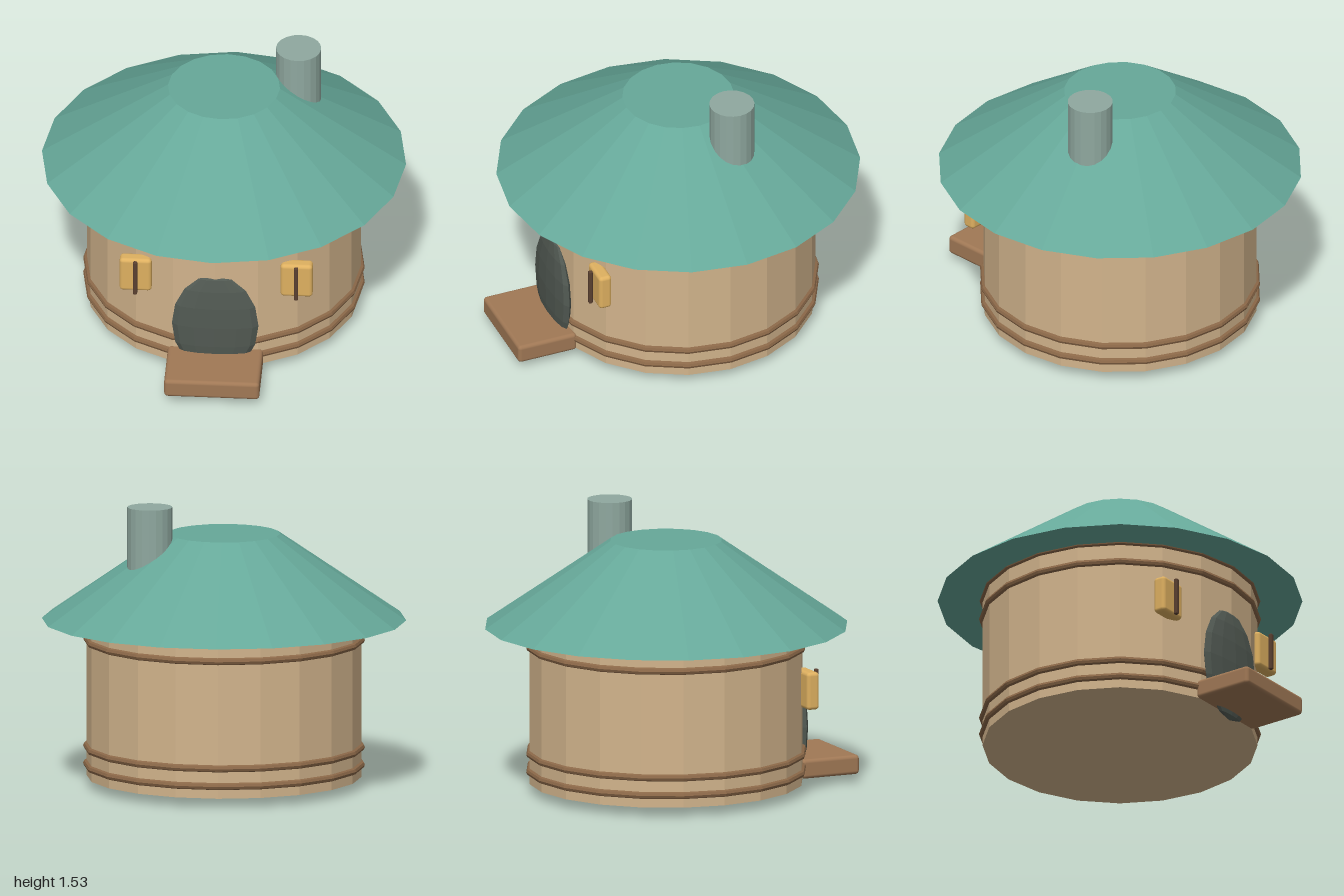
import * as THREE from 'three';
import { RoundedBoxGeometry } from 'three/addons/geometries/RoundedBoxGeometry.js';

const SIDES = 20;
const CENTRE_Z = -0.025;
const WALL_RADIUS = 0.735;

function paint(color, flatShading = true) {
  const material = new THREE.MeshStandardMaterial({ flatShading });
  material.color.set(color);
  return material;
}

export function createModel() {
  const hut = new THREE.Group();
  hut.name = 'hut';

  const plaster = paint(0xd2b48c);
  const wood = paint(0x8b6848);
  const plank = paint(0xa07855, false);
  const gold = paint(0xdeb060, false);
  const darkWood = paint(0x5a4030);
  const roofGreen = paint(0x66a899);
  const stone = paint(0x8fa89f);
  const doorGrey = paint(0x525a53);

  const add = (name, geometry, material, x, y, z, parent = hut) => {
    const mesh = new THREE.Mesh(geometry, material);
    mesh.name = name;
    mesh.position.set(x, y, z);
    parent.add(mesh);
    return mesh;
  };

  // Round wall
  add('wall', new THREE.CylinderGeometry(WALL_RADIUS, WALL_RADIUS, 0.85, SIDES), plaster, 0, 0.475, CENTRE_Z);

  // Wooden hoops around the wall, the highest tucked under the eaves
  const hoop = new THREE.TorusGeometry(WALL_RADIUS, 0.019, 8, SIDES).rotateX(Math.PI / 2);
  [0.116, 0.212, 0.793, 0.908].forEach((y, i) => add(`hoop${i + 1}`, hoop, wood, 0, y, CENTRE_Z));

  // Truncated cone roof with wide eaves
  add('roof', new THREE.CylinderGeometry(0.3, 0.975, 0.465, SIDES), roofGreen, 0, 1.1325, CENTRE_Z);

  // Chimney rising from the roof slope
  add('chimney', new THREE.CylinderGeometry(0.121, 0.121, 0.43, SIDES), stone, 0.39, 1.315, -0.175);

  // Oval door, a flattened ball set into the wall
  const oval = new THREE.SphereGeometry(1, 12, 8).scale(0.232, 0.32, 0.044);
  add('door', oval, doorGrey, 0, 0.32, 0.697);

  // Doorstep
  add('doorstep', new RoundedBoxGeometry(0.51, 0.105, 0.338, 3, 0.02), plank, 0, 0.0975, 0.831);

  // Windows, each with an upright bar in front
  for (const [side, name] of [[1, 'leftWindow'], [-1, 'rightWindow']]) {
    const group = new THREE.Group();
    group.name = name;
    group.position.set(side * 0.431, 0.577, 0);
    add('pane', new RoundedBoxGeometry(0.172, 0.204, 0.072, 3, 0.02), gold, 0, 0, 0.604, group);
    add('bar', new RoundedBoxGeometry(0.022, 0.208, 0.022, 2, 0.006), darkWood, 0, 0, 0.659, group);
    hut.add(group);
  }

  return hut;
}
